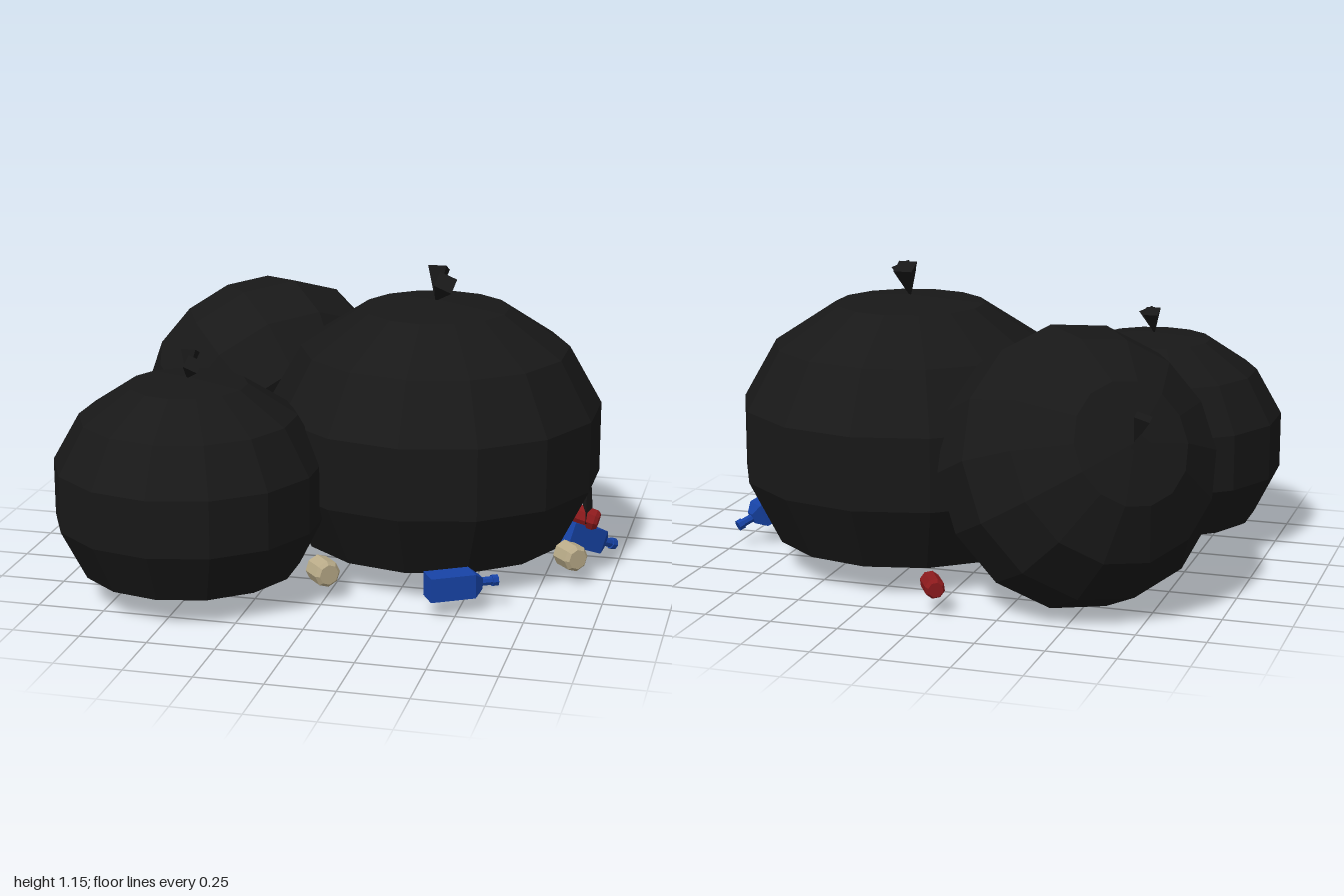
import * as THREE from 'three';

const mat = (color) => new THREE.MeshStandardMaterial({ color, flatShading: true });
const Y = new THREE.Vector3(0, 1, 0);
const lathe = (pts, sides) =>
  new THREE.LatheGeometry(pts.map(([r, y]) => new THREE.Vector2(r, y)), sides);

function add(parent, name, geometry, material, position = [0, 0, 0]) {
  const mesh = new THREE.Mesh(geometry, material);
  mesh.name = name;
  mesh.position.set(...position);
  parent.add(mesh);
  return mesh;
}

// Points the local y axis of an object along a direction
function aim(object, direction) {
  object.quaternion.setFromUnitVectors(Y, new THREE.Vector3(...direction).normalize());
  return object;
}

export function createModel() {
  const model = new THREE.Group();
  const black = mat(0x181818);
  const blue = mat(0x1743a6);
  const red = mat(0x8c1a1c);
  const beige = mat(0xb9ab88);

  // Full bag: flat base, bulging sides, nearly flat crown, origin at mid height
  const bagGeo = lathe([
    [0, -0.48], [0.28, -0.48], [0.515, -0.43], [0.635, -0.19],
    [0.635, 0.08], [0.51, 0.3], [0.28, 0.45], [0, 0.48],
  ], 14);

  // Tied ends: two small pyramids fanning out from the crown
  const flapGeo = new THREE.CylinderGeometry(0.05, 0.004, 0.125, 4);
  flapGeo.rotateY(Math.PI / 4).translate(0, 0.0625, 0);
  const flapDirs = [[0, 0.11, -0.05], [0.055, 0.09, 0.08]];

  function bag(name, position, scale, axis) {
    const group = new THREE.Group();
    group.name = name;
    add(group, 'bagBody', bagGeo, black);
    flapDirs.forEach((d) => aim(add(group, 'tiedEnd', flapGeo, black, [0, 0.478, 0]), d));
    group.position.set(...position);
    group.scale.setScalar(scale);
    model.add(aim(group, axis));
  }
  bag('largeBag', [0.29, 0.54, -0.12], 1, [0, 1, 0]);
  bag('smallBag', [-0.51, 0.44, 0.45], 0.785, [0, 1, 0]);
  bag('leaningBag', [-0.485, 0.515, -0.47], 0.79, [-0.64, 0.41, -0.64]);

  // Narrow split in the side of the large bag
  const split = add(model, 'bagSplit', new THREE.ConeGeometry(0.045, 0.32, 4), black, [0.895, 0.37, -0.06]);
  split.scale.x = 0.5;

  // Cans with bevelled rims
  function can(name, material, radius, length, position, axis) {
    const h = length / 2, r = radius, b = radius * 0.75;
    const geo = lathe([[0, -h], [b, -h], [r, -h * 0.75], [r, h * 0.75], [b, h], [0, h]], 8);
    aim(add(model, name, geo, material, position), axis);
  }
  can('beigeCan', beige, 0.051, 0.105, [-0.01, 0.105, 0.43], [0.66, 0, 0.75]);
  can('beigeCan', beige, 0.051, 0.105, [0.85, 0.105, 0.05], [0.66, 0, 0.75]);
  can('redCan', red, 0.042, 0.11, [0.885, 0.225, -0.06], [0.96, -0.25, 0.05]);
  can('redCan', red, 0.037, 0.13, [0, 0.095, -0.715], [0.5, 0, 0.86]);

  // Square bottles: box body, tapered shoulder, neck and cap along local z
  function bottle(position, target) {
    const group = new THREE.Group();
    group.name = 'blueBottle';
    add(group, 'bottleBody', new THREE.BoxGeometry(0.09, 0.09, 0.17), blue, [0, 0, -0.015]);
    const shoulder = new THREE.CylinderGeometry(0.02 * Math.SQRT2, 0.045 * Math.SQRT2, 0.035, 4);
    shoulder.rotateY(Math.PI / 4).rotateX(Math.PI / 2);
    add(group, 'bottleShoulder', shoulder, blue, [0, 0, 0.0875]);
    const neck = new THREE.CylinderGeometry(0.017, 0.017, 0.05, 8).rotateX(Math.PI / 2);
    add(group, 'bottleNeck', neck, blue, [0, 0, 0.125]);
    const cap = new THREE.CylinderGeometry(0.022, 0.022, 0.022, 8).rotateX(Math.PI / 2);
    add(group, 'bottleCap', cap, blue, [0, 0, 0.157]);
    group.position.set(...position);
    group.lookAt(...target);
    model.add(group);
  }
  bottle([0.485, 0.105, 0.455], [0.64, 0.105, 0.365]);
  bottle([0.88, 0.14, -0.08], [0.98, 0.08, -0.19]);

  return model;
}
